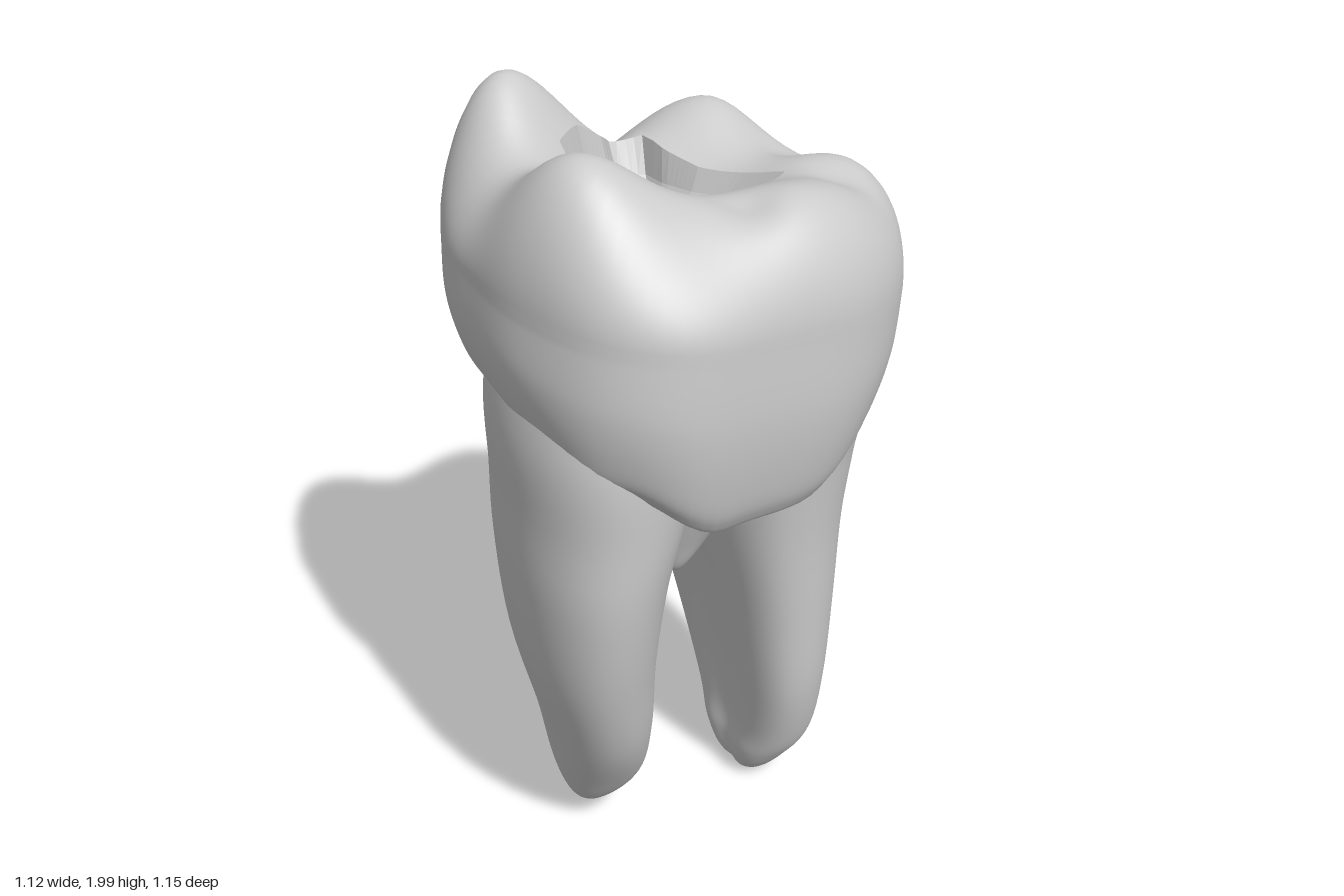
import * as THREE from 'three';

const N = 96; // points around every ring
const CX = -0.03; // centre of the crown in x
const V2 = (p) => new THREE.Vector2(p[0], p[1]);

// Skin a list of rings (each N points, listed from the bottom up, then inward)
function loft(name, rings, flat = false) {
  const pos = rings.flat().flat(), idx = [];
  for (let k = 0; k < rings.length - 1; k++)
    for (let i = 0; i < N; i++) {
      const a = k * N + i, b = k * N + (i + 1) % N;
      idx.push(a, a + N, b, b, a + N, b + N);
    }
  const g = new THREE.BufferGeometry();
  g.setAttribute('position', new THREE.Float32BufferAttribute(pos, 3));
  g.setIndex(idx);
  g.computeVertexNormals();
  const m = new THREE.Mesh(g, new THREE.MeshStandardMaterial({
    color: 0xcccccc, flatShading: flat, side: THREE.DoubleSide }));
  m.name = name;
  return m;
}

const angles = Array.from({ length: N }, (_, i) => (i / N) * Math.PI * 2);
const ring = (fn) => angles.map(fn);

// Distance from the crown centre to a closed outline, along each angle
function radii(points) {
  return angles.map((t) => {
    const dx = Math.cos(t), dz = Math.sin(t);
    let best = 0;
    points.forEach((p, i) => {
      const q = points[(i + 1) % points.length];
      const ax = p.x - CX, ex = q.x - p.x, ez = q.y - p.y;
      const det = ex * dz - ez * dx;
      if (Math.abs(det) < 1e-9) return;
      const r = (ex * p.y - ez * ax) / det;
      const u = (dx * p.y - dz * ax) / det;
      if (r > 0 && u >= -1e-6 && u <= 1 + 1e-6) best = Math.max(best, r);
    });
    return best;
  });
}

// Widest outline of the crown (x, z)
const outline = new THREE.CatmullRomCurve3([
  [0.56, -0.08], [0.5, 0.15], [0.4, 0.32], [0.27, 0.43], [0.05, 0.51], [-0.18, 0.565],
  [-0.35, 0.5], [-0.48, 0.32], [-0.54, 0.1], [-0.56, -0.06], [-0.52, -0.25], [-0.4, -0.37],
  [-0.2, -0.45], [0, -0.55], [0.12, -0.575], [0.25, -0.53], [0.35, -0.42], [0.48, -0.29],
].map(([x, z]) => new THREE.Vector3(x, z, 0)), true).getPoints(200).slice(0, -1);

// Broken edge of the cavity in the chewing surface (x, z)
const cavityEdge = [
  [0.24, 0.02], [0.16, 0.12], [0.07, 0.19], [-0.1, 0.18], [-0.2, 0.12], [-0.22, 0.02], [-0.27, -0.1],
  [-0.2, -0.2], [-0.13, -0.25], [-0.09, -0.33], [-0.01, -0.32], [0.02, -0.23], [0.08, -0.14], [0.16, -0.07],
].map(V2);

const R = radii(outline), RC = radii(cavityEdge);

// Cusps, fissures and hollows of the chewing surface: x, z, height, spread
const bumps = [
  [-0.35, 0.3, 0.29, 0.175], [-0.39, -0.24, 0.34, 0.17], [0.2, 0.31, 0.14, 0.19], [0.02, 0.36, 0.04, 0.12],
  [0.42, -0.02, 0.08, 0.14], [0.2, -0.4, 0.16, 0.16],
  [-0.13, -0.42, -0.05, 0.07], [0.04, 0.32, -0.03, 0.05], [0.35, 0.08, -0.03, 0.06], [0.33, -0.23, -0.05, 0.08],
  [-0.22, -0.06, -0.05, 0.1],
];
const surface = (x, z) => bumps.reduce(
  (h, [bx, bz, a, s]) => h + a * Math.exp(-((x - bx) ** 2 + (z - bz) ** 2) / (2 * s * s)), 1.69);
const wallTop = (t) => 1.58 - 0.06 * Math.cos(t);

// Height of the neck line, every 30 degrees from +x towards the front
const neckKeys = [1.19, 1.18, 1.13, 1.14, 1.27, 1.35, 1.37, 1.32, 1.27, 1.24, 1.22, 1.2];
function neckY(t) {
  const u = t / (Math.PI / 6), i = Math.floor(u), f = (1 - Math.cos((u - i) * Math.PI)) / 2;
  return neckKeys[i % 12] * (1 - f) + neckKeys[(i + 1) % 12] * f;
}

// Point of the chewing surface at radius r along angle i, rounded over at the rim
function capPoint(i, r) {
  const t = angles[i], x = CX + r * Math.cos(t), z = r * Math.sin(t);
  const f = Math.pow(Math.max(0, 1 - (r / R[i]) ** 6), 0.44);
  return [x, wallTop(t) + (surface(x, z) - wallTop(t)) * f, z];
}

function crown() {
  const rings = [];
  // side wall: height fraction and scale
  const profile = new THREE.SplineCurve([
    [-0.02, 0.3], [-0.08, 0.74], [0, 0.855], [0.25, 0.93], [0.6, 0.985], [1, 1]].map(V2));
  for (const p of profile.getPoints(30))
    rings.push(ring((t, i) => {
      const k = 1 - p.x, r = R[i] * p.y, y0 = neckY(t);
      return [CX - 0.03 * k + r * Math.cos(t), y0 + (wallTop(t) - y0) * p.x, 0.04 * k + r * Math.sin(t)];
    }));
  // chewing surface, from the rim in to the cavity
  for (let j = 1; j <= 32; j++) {
    const f = (j / 32) ** 1.8;
    rings.push(ring((t, i) => capPoint(i, R[i] + (RC[i] - R[i]) * f)));
  }
  return loft('crown', rings);
}

// Faceted bowl below the broken edge, deepest towards the back
function cavity() {
  const steps = [[0.82, 1.68], [0.5, 1.62], [0.001, 1.6]];
  return loft('cavity', [
    ring((t, i) => capPoint(i, RC[i])),
    ...steps.map(([s, y]) => ring((t, i) =>
      [CX + RC[i] * s * Math.cos(t), y, RC[i] * s * Math.sin(t) - 0.1 * (1 - s)])),
  ], true);
}

// Root from extents [y, xMin, xMax, zMin, zMax]. inner: side hollowed (+1, -1, 0 for none);
// lean: how far the back of the section drifts towards -x
function root(name, keys, inner, lean) {
  const curve = (a, b) => new THREE.CatmullRomCurve3(
    keys.map((k) => new THREE.Vector3(k[a], k[b], k[0])), false, 'catmullrom', 0.5);
  const xs = curve(1, 2), zs = curve(3, 4), rings = [];
  const bend = (v) => Math.sign(v) * Math.abs(v) ** 0.95;
  for (let j = 0; j <= 48; j++) {
    const X = xs.getPoint(j / 48), Z = zs.getPoint(j / 48);
    const w = (X.y - X.x) / 2, d = (Z.y - Z.x) / 2;
    rings.push(ring((t) => {
      const c = bend(Math.cos(t)), s = bend(Math.sin(t));
      const dent = c * inner > 0 ? 1 - 0.14 * c * inner * Math.exp(-6 * s * s) : 1;
      const x = c * dent + lean * (s - s * s) / 2;
      return [(X.x + X.y) / 2 + w * x, X.z, (Z.x + Z.y) / 2 + d * s];
    }));
  }
  return loft(name, rings);
}

export function createModel() {
  const tooth = new THREE.Group();
  tooth.name = 'molar';
  tooth.add(crown(), cavity());

  tooth.add(root('leftRoot', [
    [0, 0.17, 0.171, 0.04, 0.041],
    [0.025, 0.12, 0.23, -0.03, 0.11],
    [0.1, 0.1, 0.29, -0.1, 0.17],
    [0.2, 0.1, 0.34, -0.17, 0.22],
    [0.4, 0.075, 0.36, -0.28, 0.275],
    [0.65, 0.03, 0.375, -0.36, 0.3],
    [0.9, -0.02, 0.385, -0.4, 0.32],
    [1.1, -0.04, 0.405, -0.41, 0.34],
    [1.22, -0.04, 0.42, -0.41, 0.35],
    [1.38, -0.04, 0.4, -0.36, 0.32],
  ], -1, 0.65));

  tooth.add(root('rightRoot', [
    [0.07, -0.305, -0.304, 0.11, 0.111],
    [0.095, -0.36, -0.25, 0.04, 0.17],
    [0.2, -0.4, -0.16, -0.06, 0.25],
    [0.4, -0.435, -0.145, -0.16, 0.365],
    [0.65, -0.49, -0.14, -0.24, 0.445],
    [0.9, -0.51, -0.11, -0.28, 0.49],
    [1.1, -0.51, -0.06, -0.29, 0.5],
    [1.3, -0.51, -0.04, -0.29, 0.5],
    [1.48, -0.47, -0.04, -0.24, 0.46],
  ], 1, 0));

  // trunk joining the two roots above the arched fork, nearly flush at the back
  tooth.add(root('rootTrunk', [
    [0.78, -0.08, -0.078, -0.18, 0.13],
    [0.81, -0.15, -0.01, -0.25, 0.18],
    [0.9, -0.24, 0.08, -0.32, 0.22],
    [1.05, -0.34, 0.18, -0.365, 0.28],
    [1.2, -0.38, 0.22, -0.39, 0.33],
    [1.4, -0.38, 0.22, -0.37, 0.34],
  ], 0, 0));
  return tooth;
}
